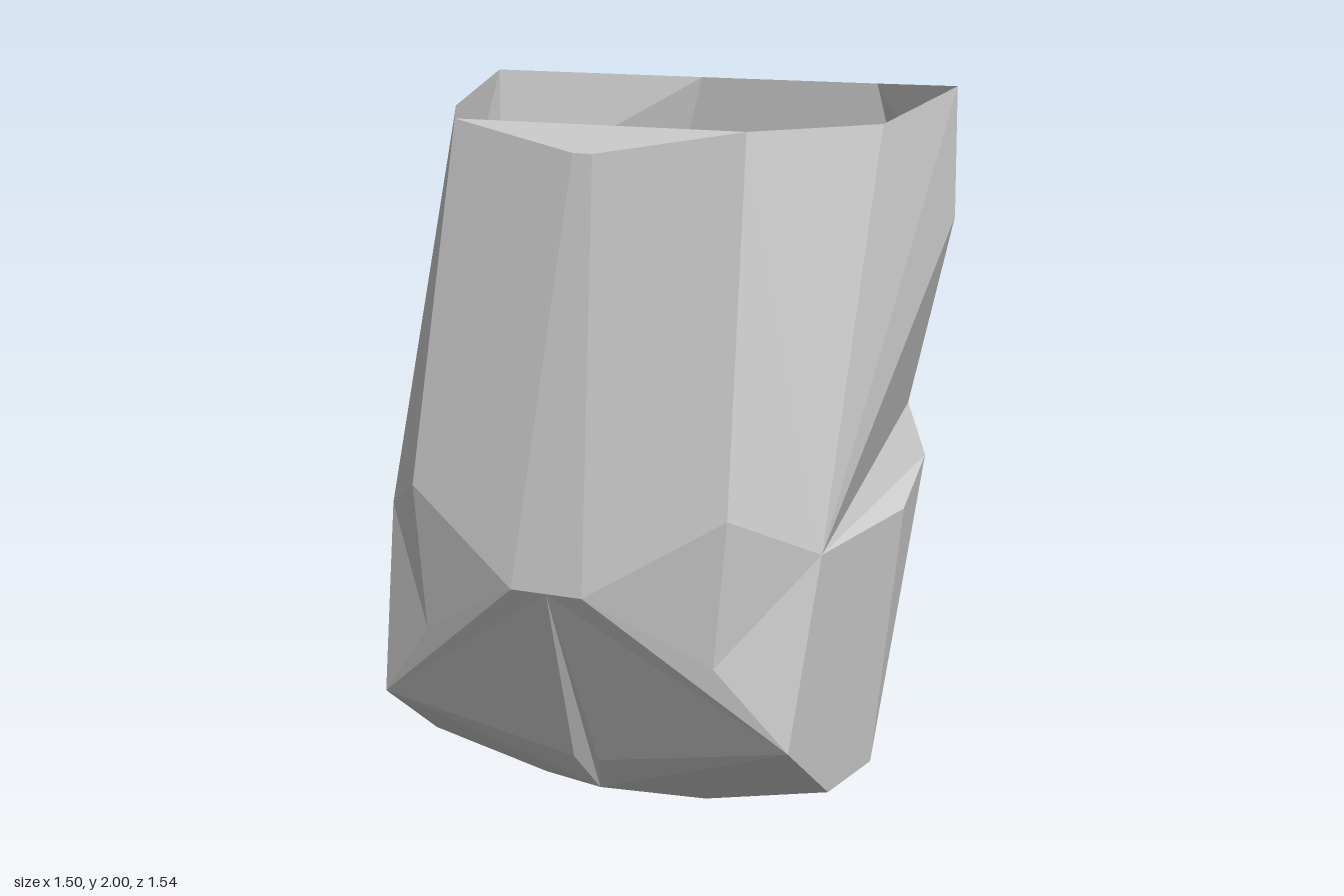
import * as THREE from 'three';

// Corners of the +x half of the shell, grouped by height
const P = {
  // open top rim
  rimFront: [0.03, 1.85, 0.55], rimCorner: [0.45, 1.92, 0.47], rimSide: [0.68, 1.92, 0.09],
  rimPeak: [0.75, 2.0, -0.28], rimBack: [0.3, 1.96, -0.77],
  // shoulder and waist
  shoulder: [0.75, 1.63, -0.28], backUpper: [0.41, 1.54, -0.77], backWaist: [0.5, 1.02, -0.57],
  ledgeBack: [0.57, 0.87, -0.54], ledgeSide: [0.67, 0.8, -0.13], hip: [0.68, 0.8, 0.47],
  cheek: [0.49, 0.91, 0.66], cheekLow: [0.45, 0.5, 0.66], nose: [0.11, 0.68, 0.77],
  noseMid: [0, 0.68, 0.77], backMid: [0, 0.6, -0.51],
  // lower edge and bottom opening
  chin: [0.64, 0.27, 0.59], grooveLip: [0.04, 0.15, 0.55], chinMid: [0, 0.04, 0.47],
  baseFront: [0.64, 0.08, 0.32], baseSide: [0.64, 0.08, 0.02], baseBack: [0.32, 0.11, -0.21],
  holeFront: [0.26, 0, 0.32], holeBack: [0.26, 0.04, -0.14],
};

// Each panel is a fan of corners, mirrored to -x.
// A leading '-' takes the mirrored corner, for panels crossing the middle.
const parts = {
  frontPanel: [
    'rimCorner cheek nose rimFront',
    'cheek cheekLow nose',
  ],
  frontCorner: [
    'rimCorner rimSide hip', 'rimCorner hip cheek',
    'cheek hip cheekLow', 'hip chin cheekLow',
  ],
  upperSide: [
    'hip rimSide rimPeak shoulder', 'hip shoulder backWaist',
    'shoulder rimPeak rimBack', 'shoulder rimBack backUpper', 'shoulder backUpper backWaist',
  ],
  ledge: ['hip backWaist ledgeBack ledgeSide'],
  lowerSide: [
    'hip ledgeSide baseSide baseFront chin',
    'ledgeSide ledgeBack baseSide',
  ],
  lowerBack: [
    'ledgeBack backMid baseBack', 'ledgeBack baseBack baseSide', 'backWaist backMid ledgeBack',
  ],
  lowerFront: [
    'nose cheekLow chin', 'chin grooveLip noseMid nose',
    'noseMid grooveLip chinMid', 'chin chinMid grooveLip',
  ],
  underside: [
    'chin baseFront holeFront chinMid',
    'baseFront baseSide holeBack holeFront', 'baseSide baseBack holeBack',
  ],
};

// Panels that span both halves
const middleParts = {
  frontMiddle: ['rimFront nose -nose -rimFront', 'rimCorner rimFront -rimFront -rimCorner'],
  backMiddle: [
    'rimBack backUpper -backUpper -rimBack', 'backUpper backWaist -backWaist -backUpper',
    'backWaist backMid -backWaist', 'backMid baseBack -baseBack',
  ],
  undersideMiddle: ['baseBack holeBack -holeBack -baseBack', 'holeFront chinMid -holeFront'],
};

const corner = (name) => {
  const flip = name.startsWith('-');
  const v = new THREE.Vector3(...P[flip ? name.slice(1) : name]);
  if (flip) v.x *= -1;
  return v;
};

// Turn panels into flat triangles that face away from the hollow centre
function panelGeometry(panels, mirrored) {
  const centre = new THREE.Vector3(0, 0.8, 0);
  const points = [];
  const addTriangle = (a, b, c) => {
    const tri = new THREE.Triangle(a, b, c);
    const normal = tri.getNormal(new THREE.Vector3());
    const outward = tri.getMidpoint(new THREE.Vector3()).sub(centre);
    points.push(...(normal.dot(outward) > 0 ? [a, b, c] : [a, c, b]));
  };
  for (const panel of panels) {
    const vs = panel.split(' ').map(corner);
    if (mirrored) vs.forEach((v) => { v.x *= -1; });
    for (let i = 1; i < vs.length - 1; i++) addTriangle(vs[0], vs[i], vs[i + 1]);
  }
  const geometry = new THREE.BufferGeometry().setFromPoints(points);
  geometry.computeVertexNormals();
  return geometry;
}

export function createModel() {
  const group = new THREE.Group();
  group.name = 'hollowShell';
  const material = new THREE.MeshStandardMaterial({
    color: 0xcccccc, flatShading: true, side: THREE.DoubleSide,
  });
  const add = (name, panels, mirrored) => {
    const mesh = new THREE.Mesh(panelGeometry(panels, mirrored), material);
    mesh.name = name;
    group.add(mesh);
  };
  for (const [name, panels] of Object.entries(parts)) {
    add(name + 'Left', panels, false);
    add(name + 'Right', panels, true);
  }
  for (const [name, panels] of Object.entries(middleParts)) add(name, panels, false);
  return group;
}
